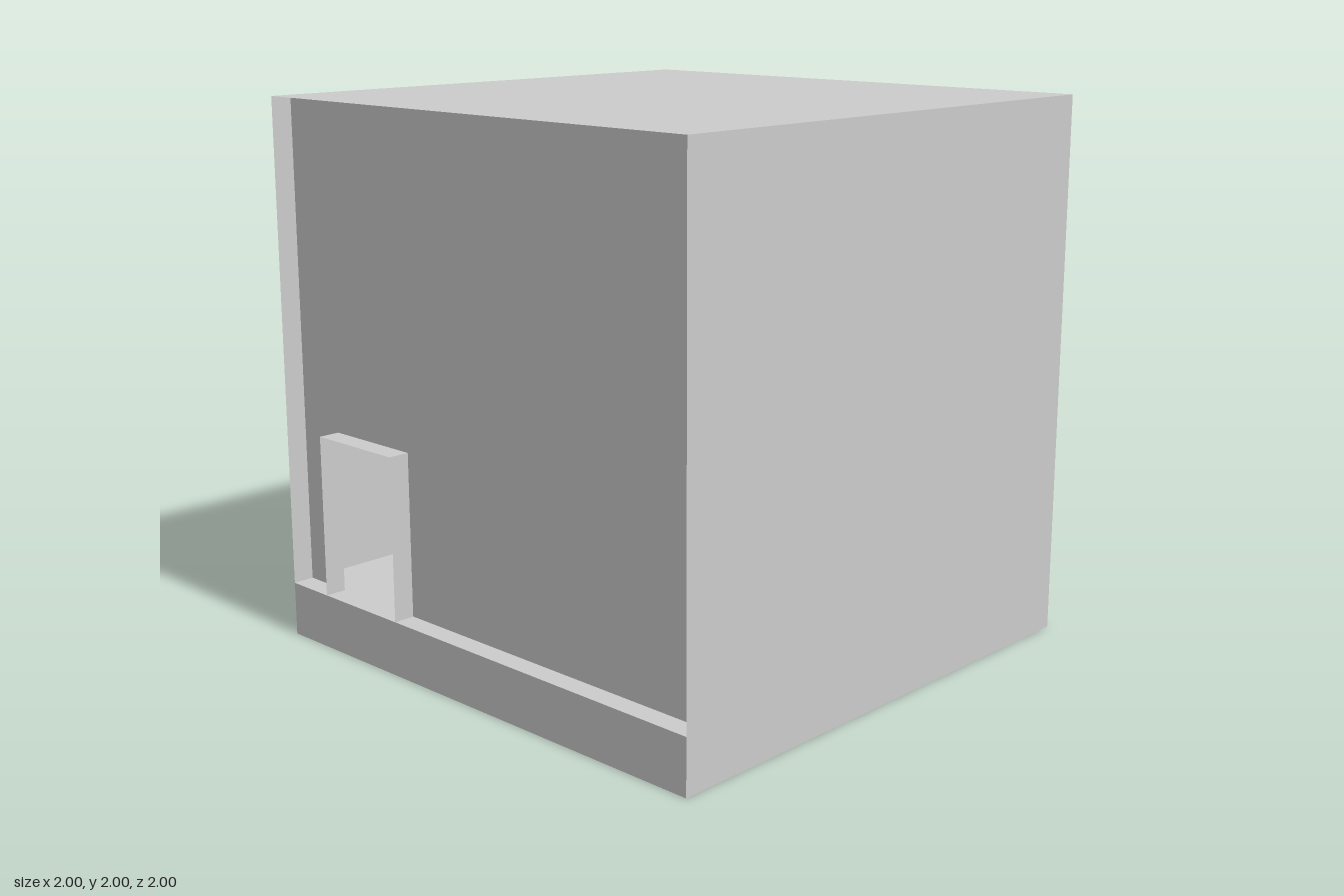
import * as THREE from 'three';

const HALF = 1;          // half width and depth
const HEIGHT = 2;
const FLOOR = 0.2;       // plinth and floor level
const RECESS = 0.08;     // how far the end walls sit back
const DOOR = { left: -0.8, right: -0.4, top: 0.8 };

export function createModel() {
  const model = new THREE.Group();
  model.name = 'house';
  const material = new THREE.MeshStandardMaterial({
    color: 0xcccccc, flatShading: true, side: THREE.DoubleSide,
  });

  function add(parent, name, geometry, x, y, z) {
    const mesh = new THREE.Mesh(geometry, material);
    mesh.name = name;
    mesh.position.set(x, y, z);
    parent.add(mesh);
  }
  // Thin horizontal and upright sheets
  const level = (w, d) => new THREE.PlaneGeometry(w, d).rotateX(-Math.PI / 2);
  const upright = (d, h) => new THREE.PlaneGeometry(d, h).rotateY(Math.PI / 2);

  const wallZ = HALF - RECESS;

  // Shell: roof, floor and side walls
  add(model, 'roof', level(2 * HALF, 2 * HALF), 0, HEIGHT, 0);
  add(model, 'floor', level(2 * HALF, 2 * wallZ), 0, FLOOR, 0);
  add(model, 'leftWall', upright(2 * HALF, HEIGHT), HALF, HEIGHT / 2, 0);
  add(model, 'rightWall', upright(2 * HALF, HEIGHT).rotateY(Math.PI), -HALF, HEIGHT / 2, 0);

  // End wall outline, stepping around the doorway
  const outline = new THREE.Shape([
    [-HALF, FLOOR], [DOOR.left, FLOOR], [DOOR.left, DOOR.top], [DOOR.right, DOOR.top],
    [DOOR.right, FLOOR], [HALF, FLOOR], [HALF, HEIGHT], [-HALF, HEIGHT],
  ].map(([x, y]) => new THREE.Vector2(x, y)));

  // Front and back: recessed wall, plinth and projecting door frame
  for (const [name, side] of [['front', 1], ['back', -1]]) {
    const end = new THREE.Group();
    end.name = name + 'End';
    const frameZ = side * (HALF - RECESS / 2);
    const doorHeight = DOOR.top - FLOOR;
    add(end, name + 'Wall', new THREE.ShapeGeometry(outline), 0, 0, side * wallZ);
    add(end, name + 'Plinth', new THREE.BoxGeometry(2 * HALF, FLOOR, RECESS), 0, FLOOR / 2, frameZ);
    for (const x of [DOOR.left, DOOR.right])
      add(end, name + 'DoorJamb', upright(RECESS, doorHeight), x, FLOOR + doorHeight / 2, frameZ);
    add(end, name + 'DoorLintel', level(DOOR.right - DOOR.left, RECESS),
      (DOOR.left + DOOR.right) / 2, DOOR.top, frameZ);
    model.add(end);
  }
  return model;
}
